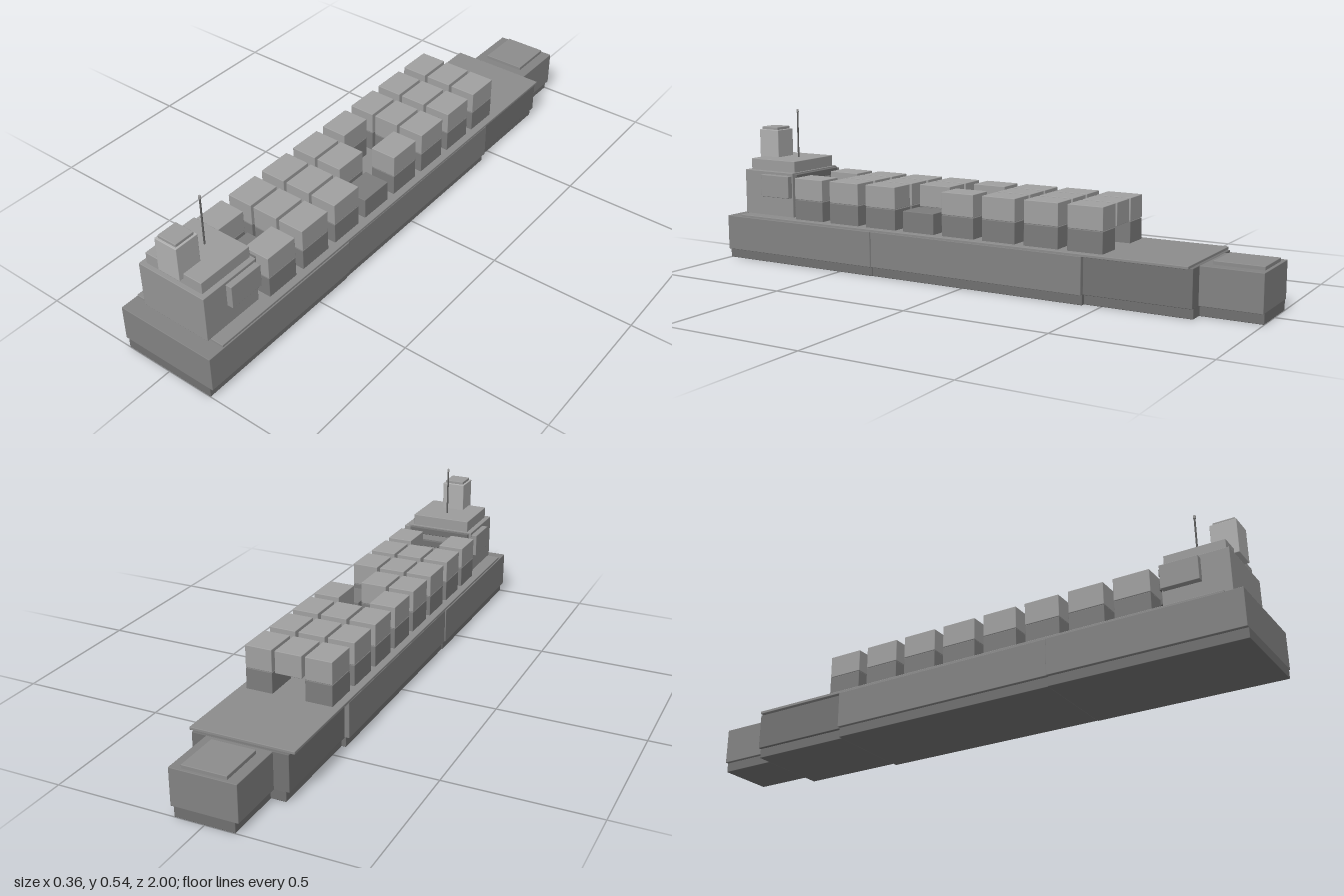
import * as THREE from 'three';
import { RoundedBoxGeometry } from 'three/addons/geometries/RoundedBoxGeometry.js';

// Painted greys, darker toward the waterline and lighter toward the funnel
const paint = (color) => new THREE.MeshStandardMaterial({ color });
const paints = {
  keel: paint(0x707070),
  hull: paint(0x828282),
  bow: paint(0x727272),
  deck: paint(0x8c8c8c),
  lowerCargo: paint(0x7c7c7c),
  upperCargo: paint(0xa0a0a0),
  house: paint(0x949494),
  bridge: paint(0x9c9c9c),
  window: paint(0x707070),
  funnel: paint(0xb0b0b0),
  mast: paint(0x606060),
};

// Softly bevelled block from half-width and y / z ranges
function block(parent, name, material, halfX, y0, y1, z0, z1, x = 0) {
  const geometry = new RoundedBoxGeometry(halfX * 2, y1 - y0, z1 - z0, 2, 0.002);
  const mesh = new THREE.Mesh(geometry, material);
  mesh.position.set(x, (y0 + y1) / 2, (z0 + z1) / 2);
  mesh.name = name;
  parent.add(mesh);
}

// Upright round rod on the centre line
function rod(parent, name, material, radius, y0, y1, z) {
  const mesh = new THREE.Mesh(new THREE.CylinderGeometry(radius, radius, y1 - y0, 12), material);
  mesh.position.set(0, (y0 + y1) / 2, z);
  mesh.name = name;
  parent.add(mesh);
}

function group(parent, name) {
  const g = new THREE.Group();
  g.name = name;
  parent.add(g);
  return g;
}

export function createModel() {
  const ship = new THREE.Group();
  ship.name = 'containerShip';

  // Hull sections, each over a slightly inset keel band
  const hull = group(ship, 'hull');
  const sections = [
    ['stern', paints.hull, 0.178, 0.36, 1],
    ['midship', paints.hull, 0.175, -0.44, 0.36],
    ['bow', paints.bow, 0.16, -0.8, -0.44],
    ['bowTip', paints.hull, 0.11, -1, -0.8],
  ];
  for (const [name, material, halfX, z0, z1] of sections) {
    block(hull, name + 'Hull', material, halfX, 0.033, 0.157, z0, z1);
    block(hull, name + 'Keel', paints.keel, halfX - 0.011, 0, 0.036, z0, z1);
  }

  // Deck plates
  block(ship, 'mainDeck', paints.deck, 0.174, 0.155, 0.165, -0.79, 0.94);
  block(ship, 'bowTipDeck', paints.deck, 0.074, 0.155, 0.169, -0.99, -0.83);

  // Container stacks: 8 rows, 3 columns, 2 tiers, with a few empty slots
  const cargo = group(ship, 'containers');
  const empty = new Set(['0,1,1', '3,2,1', '4,1,0', '4,1,1', '7,1,0']);
  for (let row = 0; row < 8; row++) {
    const z = 0.645 - row * 0.155;
    for (let col = 0; col < 3; col++) {
      for (let tier = 0; tier < 2; tier++) {
        if (empty.has([row, col, tier].join())) continue;
        const y = 0.16 + tier * 0.077;
        const material = tier ? paints.upperCargo : paints.lowerCargo;
        block(cargo, 'container', material, 0.046, y, y + 0.076, z - 0.061, z + 0.061, (col - 1) * 0.103);
      }
    }
  }

  // Superstructure with side wings and window bands facing the bow
  const house = group(ship, 'superstructure');
  block(house, 'deckHouse', paints.house, 0.128, 0.163, 0.325, 0.733, 0.953);
  block(house, 'bridge', paints.bridge, 0.11, 0.323, 0.365, 0.738, 0.938);
  for (const side of [-1, 1]) {
    block(house, 'bridgeWing', paints.house, 0.014, 0.235, 0.315, 0.737, 0.862, side * 0.135);
  }
  for (const y of [0.21, 0.26, 0.308]) {
    block(house, 'windowBand', paints.window, 0.118, y - 0.012, y + 0.012, 0.722, 0.738);
  }

  // Funnel and mast
  block(house, 'funnel', paints.funnel, 0.042, 0.348, 0.465, 0.868, 0.955);
  block(house, 'funnelCap', paints.bridge, 0.035, 0.463, 0.475, 0.876, 0.948);
  rod(house, 'mast', paints.mast, 0.003, 0.36, 0.535, 0.808);
  rod(house, 'mastLight', paints.bridge, 0.0045, 0.532, 0.542, 0.808);

  return ship;
}
